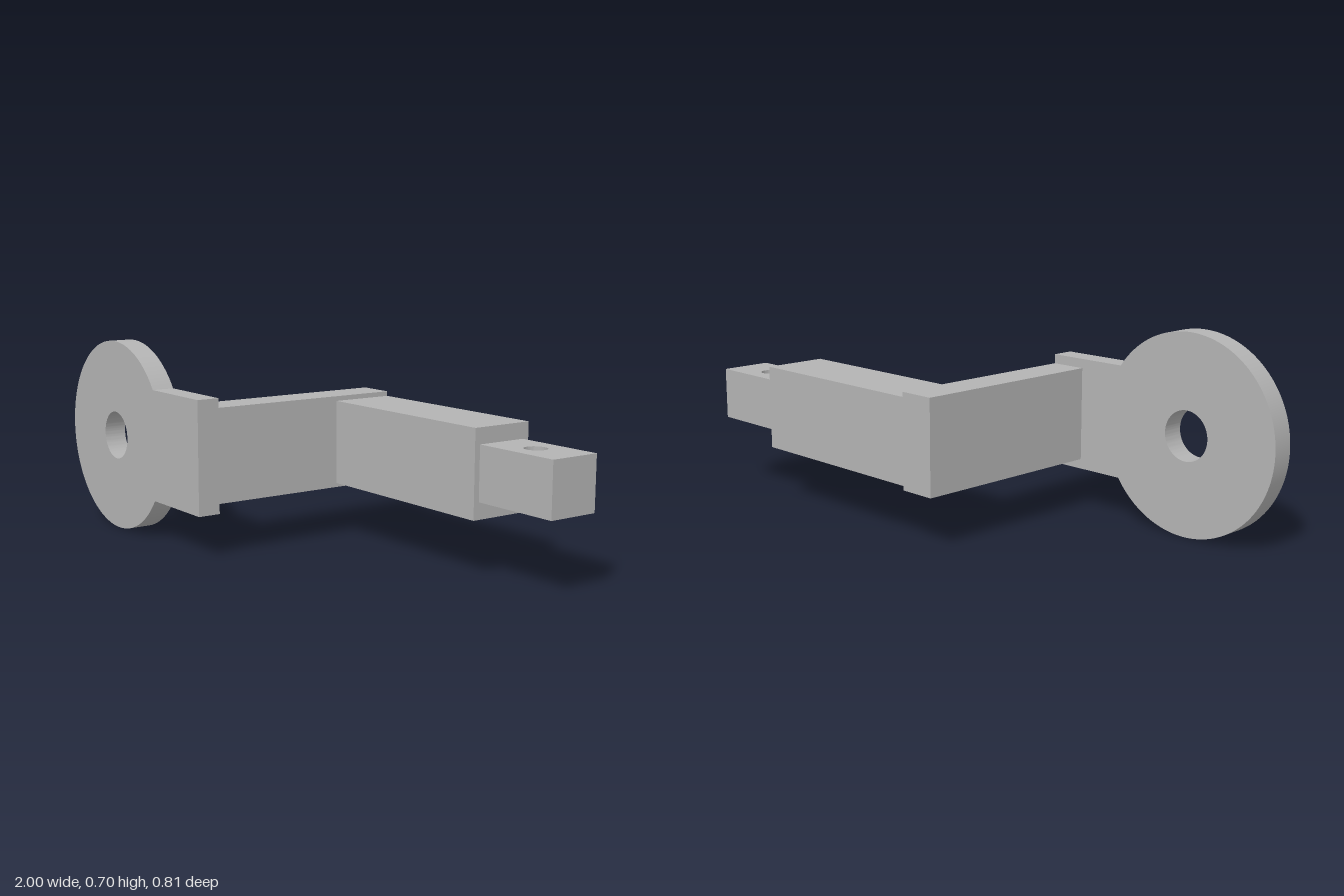
import * as THREE from 'three';
import { toCreasedNormals } from 'three/addons/utils/BufferGeometryUtils.js';

export function createModel() {
  const model = new THREE.Group();
  model.name = 'offsetArm';
  const steel = new THREE.MeshStandardMaterial({ color: 0xb3b3b3 });
  steel.name = 'grey steel';

  const add = (name, geometry) => {
    const mesh = new THREE.Mesh(geometry, steel);
    mesh.name = name;
    model.add(mesh);
    return mesh;
  };
  // Box given by its minimum and maximum corners
  const block = (name, [x0, y0, z0], [x1, y1, z1]) =>
    add(name, new THREE.BoxGeometry(x1 - x0, y1 - y0, z1 - z0))
      .position.set((x0 + x1) / 2, (y0 + y1) / 2, (z0 + z1) / 2);
  // Plate with smooth round walls and sharp rims
  const extrude = (shape, depth) => toCreasedNormals(
    new THREE.ExtrudeGeometry(shape, { depth, bevelEnabled: false, curveSegments: 64 }), 0.5);
  const hole = (x, y, r) => new THREE.Path().absarc(x, y, r, 0, Math.PI * 2, true);

  // Round eye plate with a straight tab
  const cx = -0.65, cy = 0.35, r = 0.35, half = 0.2, end = -0.055;
  const a = Math.asin(half / r);
  const eye = new THREE.Shape();
  eye.moveTo(end, cy - half);
  eye.lineTo(end, cy + half);
  eye.absarc(cx, cy, r, a, Math.PI * 2 - a, false);
  eye.closePath();
  eye.holes.push(hole(cx, cy, 0.0875));
  add('eyePlate', extrude(eye, 0.082)).position.z = 0.322;

  // Web running back from the tab, and the bar beside it
  block('crossWeb', [-0.187, 0.185, -0.404], [end, 0.517, 0.322]);
  block('mainBar', [end, 0.2, -0.404], [0.68, 0.5, -0.173]);

  // Square tip with a vertical pin hole, drawn in x and -z
  const tip = new THREE.Shape();
  tip.moveTo(0.68, 0.194);
  tip.lineTo(1, 0.194);
  tip.lineTo(1, 0.38);
  tip.lineTo(0.68, 0.38);
  tip.closePath();
  tip.holes.push(hole(0.832, 0.288, 0.038));
  add('drilledTip', extrude(tip, 0.187).rotateX(-Math.PI / 2)).position.y = 0.258;

  return model;
}
